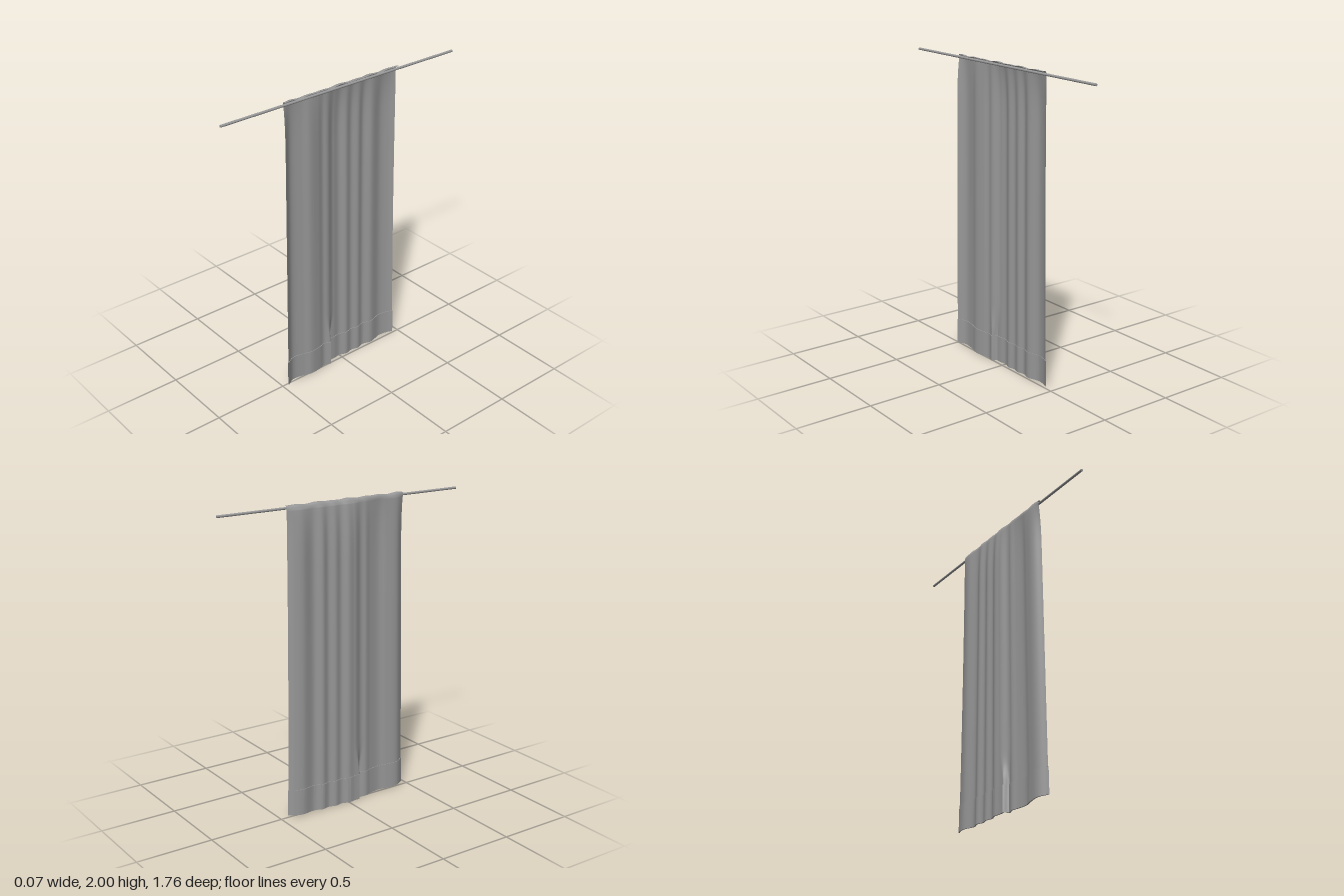
import * as THREE from 'three';
import { toCreasedNormals } from 'three/addons/utils/BufferGeometryUtils.js';

const grey = new THREE.MeshStandardMaterial({ color: 0x999999, side: THREE.DoubleSide });
const { lerp, smoothstep, clamp } = THREE.MathUtils;
const ROD = { x: 0.02, y: 1.98, r: 0.008 };

// Soft folds across the cloth: [z, x] from the back edge to the front edge
const folds = [
  [-0.45, 0.0], [-0.41, -0.018], [-0.35, -0.029], [-0.26, -0.01], [-0.2, -0.028], [-0.15, -0.016],
  [-0.1, -0.028], [-0.05, -0.018], [0, -0.034], [0.05, -0.028], [0.1, -0.03],
  [0.15, -0.044], [0.2, -0.032], [0.27, -0.024], [0.33, -0.038], [0.41, -0.044], [0.47, -0.012],
];
const STEP = { z: 0.095, x: 0.036 };
const curve = new THREE.CatmullRomCurve3(folds.map(([z, x]) => new THREE.Vector3(x, 0, z)));
const COLS = 160;
const profile = curve.getPoints(COLS);

// Point on the hanging cloth: column i, height y. One deep pleat, sharp in the hem and soft above
function hang(i, y) {
  const p = profile[i];
  const w = lerp(0.01, 0.045, smoothstep(y, 0.19, 0.4));
  const x = p.x + STEP.x * smoothstep(p.z, STEP.z - w, STEP.z + w);
  const gather = clamp((y - 1.6) / 0.38, 0, 1) ** 3;
  const h = 1 - y / 2;
  const z = p.z * (p.z > 0 ? lerp(0.935, 1, h) : lerp(0.945, 1, h * h));
  return new THREE.Vector3(lerp(x, x * 0.35 - 0.001, gather), y, z);
}

// Smooth surface through rows of points
function surface(rows) {
  const n = rows[0].length, index = [];
  for (let r = 0; r < rows.length - 1; r++) {
    for (let i = 0; i < n - 1; i++) {
      const a = r * n + i, b = a + n;
      index.push(a, a + 1, b, a + 1, b + 1, b);
    }
  }
  const geo = new THREE.BufferGeometry().setFromPoints(rows.flat());
  geo.setIndex(index);
  geo.computeVertexNormals();
  return geo;
}

function add(group, name, geo) {
  const mesh = new THREE.Mesh(geo, grey);
  mesh.name = name;
  group.add(mesh);
}

const columns = (fn) => Array.from({ length: COLS + 1 }, (_, i) => fn(i));
const hemTop = (i) => 0.178 + 0.012 * (profile[i].z / 0.47) ** 2;
const hemBottom = (i) => 0.004 + 0.015 * (profile[i].z / 0.47) ** 2;

export function createModel() {
  const group = new THREE.Group();
  group.name = 'curtainOnRod';

  // Rod
  const rod = new THREE.CylinderGeometry(ROD.r, ROD.r, 1.76, 16);
  rod.rotateX(Math.PI / 2).translate(ROD.x, ROD.y, 0);
  add(group, 'rod', rod);

  // Cloth: straight drop, then the top edge curls over the rod
  const rows = [];
  const DROP = 50;
  for (let k = 0; k <= DROP; k++) {
    rows.push(columns((i) => hang(i, lerp(hemTop(i), 1.965, k / DROP))));
  }
  for (let k = 1; k <= 8; k++) {
    const t = k / 8, a = lerp(Math.PI, Math.PI * 0.4, t);
    rows.push(columns((i) => {
      const p = hang(i, 1.965);
      const lift = 0.016 + 0.002 * Math.sin(p.z * 52) + 0.002 * Math.sin(p.z * 31 + 1);
      const x = ROD.x + Math.cos(a) * 0.021;
      const y = ROD.y + Math.sin(a) * lift;
      return new THREE.Vector3(lerp(p.x, x, Math.min(1, t * 1.4)), lerp(1.965, y, Math.min(1, t * 2)), p.z);
    }));
  }
  add(group, 'cloth', surface(rows));

  // Hem: doubled band, slightly proud of the cloth on both sides
  const T = 0.004;
  const hemRows = [[-T, 1], [-T, 0.5], [-T, 0], [T, 0], [T, 0.5], [T, 1], [-T, 1]].map(([x, t]) =>
    columns((i) => {
      const p = hang(i, lerp(hemBottom(i), hemTop(i), t));
      p.x += x;
      return p;
    }));
  add(group, 'hem', toCreasedNormals(surface(hemRows), 0.7));

  return group;
}
